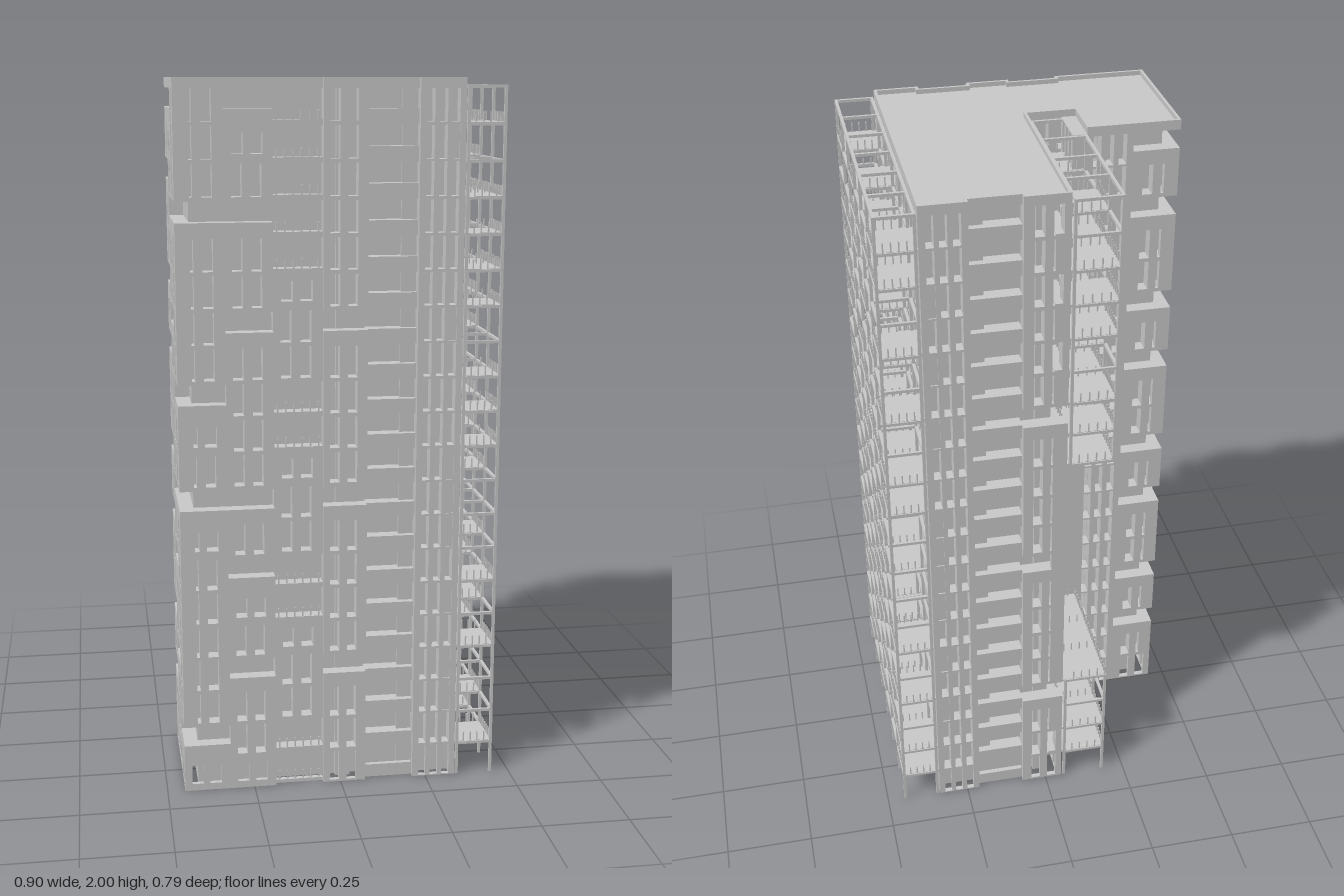
import * as THREE from 'three';
import { mergeGeometries } from 'three/addons/utils/BufferGeometryUtils.js';

const H = 0.099, FLOORS = 20; // storey height and count
const RECESS = 0.04;          // depth of windows behind the facade
const FRONT = 0.394, BACK = -0.397, WEST = -0.45, EAST = 0.338;

export function createModel() {
  const tower = new THREE.Group();
  tower.name = 'apartmentTower';
  const material = new THREE.MeshStandardMaterial({ color: 0xcccccc });
  const parts = {};

  function add(name, geometry) {
    (parts[name] ??= []).push(geometry.index ? geometry.toNonIndexed() : geometry);
  }
  function box(name, x0, x1, y0, y1, z0, z1) {
    const g = new THREE.BoxGeometry(Math.abs(x1 - x0), y1 - y0, Math.abs(z1 - z0));
    add(name, g.translate((x0 + x1) / 2, (y0 + y1) / 2, (z0 + z1) / 2));
  }

  // Bay edges along the front, and the wall plane of each bay
  const edges = [WEST, -0.187, -0.05, 0.073, 0.212, EAST];
  const frontPlanes = [FRONT, FRONT - 0.014, FRONT, FRONT - 0.017, FRONT];
  const backPlanes = { 2: BACK, 3: BACK + 0.016, 4: BACK };
  const NECK = 0.135; // end of the rear court

  // Floor plan as [x, -z], counter-clockwise
  function plan(east) {
    const [a, b, c, d, e] = edges, [, f1, , f3] = frontPlanes;
    return [
      [a, -FRONT], [b, -FRONT], [b, -f1], [c, -f1], [c, -FRONT], [d, -FRONT], [d, -f3],
      ...(east > e ? [[e, -f3], [e, -FRONT], [east, -FRONT], [east, -BACK], [e, -BACK], [e, -backPlanes[3]]]
        : [[east, -f3], [east, -backPlanes[3]]]),
      [d, -backPlanes[3]], [d, -BACK], [c, -BACK], [c, -NECK], [b, -NECK], [b, 0], [a, 0],
    ];
  }
  function inset(points, t) {
    const n = points.length;
    const normal = (a, b) => [-Math.sign(b[1] - a[1]), Math.sign(b[0] - a[0])];
    return points.map((p, i) => {
      const a = normal(points[(i + n - 1) % n], p), b = normal(p, points[(i + 1) % n]);
      return new THREE.Vector2(p[0] + t * (a[0] + b[0]), p[1] + t * (a[1] + b[1]));
    });
  }
  function prism(name, outer, y0, y1, hole) {
    const shape = new THREE.Shape(outer);
    if (hole) shape.holes.push(new THREE.Path(hole));
    const g = new THREE.ExtrudeGeometry(shape, { depth: y1 - y0, bevelEnabled: false });
    add(name, g.rotateX(-Math.PI / 2).translate(0, y0, 0));
  }

  const outline = plan(EAST);
  prism('core', inset(plan(0.21), RECESS), H, 1.975);
  prism('groundWalls', inset(outline, RECESS), 0, H, inset(outline, RECESS + 0.006));
  prism('roof', inset(outline, 0), 1.972, 1.987);
  prism('parapet', inset(outline, 0), 1.987, 2, inset(outline, 0.008));

  // A facade maps (along, height, depth inward) onto one wall plane
  function facade(axis, plane, sign) {
    return (name, u0, u1, y0, y1, d0, d1) => {
      const a = plane - sign * d0, b = plane - sign * d1;
      if (axis === 'z') box(name, u0, u1, y0, y1, a, b);
      else box(name, a, b, y0, y1, u0, u1);
    };
  }
  // W tall windows, S small windows, T three slots, L loggia with parapet, R loggia with railing
  const windows = {
    W: { sill: 0.06, head: 0.95, gaps: [[0.15, 0.37], [0.55, 0.77]] },
    S: { sill: 0.2, head: 0.76, gaps: [[0.16, 0.4], [0.55, 0.8]] },
    T: { sill: 0.03, head: 0.97, gaps: [[0.14, 0.31], [0.42, 0.59], [0.69, 0.86]] },
  };
  function cell(put, u0, u1, floor, type) {
    const w = u1 - u0, y = floor * H, depth = floor ? RECESS : 0.014;
    const panel = (name, a, b, low, high) => put(name, u0 + a * w, u0 + b * w, y + low * H, y + high * H, 0, depth);
    if (type === 'L') {
      panel('balconyParapets', 0, 1, 0, 0.38);
      panel('facade', 0, 1, 0.95, 1);
    } else if (type === 'R') {
      panel('facade', 0, 1, 0, 0.1);
      panel('facade', 0, 1, 0.95, 1);
      for (let i = 0; i < 6; i++) {
        const u = u0 + w * (i + 0.5) / 6;
        put('railings', u - 0.002, u + 0.002, y + 0.1 * H, y + 0.36 * H, 0.002, 0.006);
      }
    } else {
      const { sill, head, gaps } = windows[type];
      panel('facade', 0, 1, 0, sill);
      panel('facade', 0, 1, head, 1);
      let from = 0;
      for (const [a, b] of [...gaps, [1, 1]]) {
        panel('facade', from, a, sill, head);
        from = b;
      }
    }
  }

  // Front: one string per storey from the ground up, bays along +x (the wing has two)
  const front = ['SSRWLT', 'LWRWLT', 'WWWWLT', 'WLWLLT', 'WWSWLT', 'WSRWLT', 'WLRWLT', 'SWWWLT', 'LLWLLT', 'WWSWLT',
    'SWRWLT', 'LWRWLT', 'WWWWLT', 'WLWLLT', 'WWSWLT', 'WWRWLT', 'LLRWLT', 'WWRWLT', 'WSRWLT', 'WLRWLT'];
  const wingMid = -0.318;
  const wingFront = facade('z', FRONT, 1), wingSide = facade('x', WEST, -1), wingBack = facade('z', 0, -1);
  const neckSide = facade('x', edges[1], -1), neckBack = facade('z', NECK, -1);
  const courtWall = facade('x', edges[2], -1), courtBay = (NECK - BACK) / 4;
  const courtOpen = (f) => f >= 12 || (f >= 1 && f < 4);

  front.forEach((row, f) => {
    cell(wingFront, WEST, wingMid, f, row[0]);
    cell(wingFront, wingMid, edges[1], f, row[1]);
    for (let i = 1; i < 5; i++) {
      cell(facade('z', frontPlanes[i], 1), edges[i], edges[i + 1], f, row[i + 1]);
      if (i > 1) cell(facade('z', backPlanes[i], -1), edges[i], edges[i + 1], f, row[i + 1]);
    }
    // Wing: outer side and back
    cell(wingSide, 0.263, FRONT, f, row[0] === 'L' ? 'L' : 'T');
    cell(wingSide, 0.131, 0.263, f, row[1]);
    const rear = f % 5 === 2 || f % 5 === 4 ? 'L' : 'W';
    cell(wingSide, 0, 0.131, f, rear);
    cell(wingBack, WEST, wingMid, f, rear);
    cell(wingBack, wingMid, edges[1], f, 'T');
    cell(neckSide, 0, NECK, f, 'T');
    cell(neckBack, edges[1], edges[2], f, 'W');
    // Wall behind the rear frame
    for (let b = 0; b < 4; b++) {
      const z = BACK + b * courtBay;
      cell(courtWall, z, z + courtBay, f, courtOpen(f) && (f + b) % 2 ? 'R' : b === 3 ? 'L' : 'W');
    }
  });

  // Open steel frame of posts and beams between two x planes
  const T = 0.004;
  function frame(name, xa, xb, zLines, f0, f1) {
    const z0 = zLines[0], z1 = zLines[zLines.length - 1];
    for (const z of zLines) {
      for (const x of [xa, xb]) box(name, x - T, x + T, f0 * H, f1 * H, z - T, z + T);
      for (let f = Math.max(1, f0); f <= f1; f++) box(name, xa, xb, f * H - 2 * T, f * H, z - T, z + T);
    }
    for (let f = Math.max(1, f0); f <= f1; f++) {
      for (const x of [xa, xb]) box(name, x - T, x + T, f * H - 2 * T, f * H, z0, z1);
    }
  }
  // Balcony deck with pickets on the outer edge and both ends
  function balcony(xIn, xWall, xOut, z0, z1, f) {
    const y = f * H, p = 0.0018;
    box('balconyDecks', xIn, xOut, y - 0.006, y + 0.001, z0, z1);
    for (let i = 0; i <= 8; i++) {
      const z = z0 + (z1 - z0) * i / 8;
      box('railings', xOut - p, xOut + p, y, y + 0.028, z - p, z + p);
    }
    for (let i = 1; i < 5; i++) {
      const x = xWall + (xOut - xWall) * i / 5;
      for (const z of [z0, z1]) box('railings', x - p, x + p, y, y + 0.028, z - p, z + p);
    }
  }
  const lines = (start, end, count) => Array.from({ length: count }, (_, i) => start + (end - start) * i / (count - 1));

  // East side: frame, decks and loggias; digits list the bays with a balcony, counted from the front
  const eastLines = lines(BACK + T, FRONT - T, 7), frameIn = 0.345, frameOut = 0.446;
  frame('eastFrame', frameIn, frameOut, eastLines, 0, FLOORS);
  const decks = ['', '025', '145', '34', '025', '13', '0235', '13', '34', '134', '024', '025', '0345', '23', '025',
    '014', '035', '012', '2345', '025'];
  const eastWall = facade('x', EAST, 1);
  decks.forEach((bays, f) => {
    if (f > 0) box('loggiaFloors', 0.17, EAST - 0.004, f * H - 0.006, f * H, -0.35, 0.35);
    for (let b = 0; b < 6; b++) {
      const z0 = eastLines[5 - b], z1 = eastLines[6 - b];
      if (bays.includes(b)) balcony(0.23, frameIn, frameOut, z0, z1, f);
      else cell(eastWall, z0, z1, f, b % 2 ? 'W' : 'T');
    }
  });
  for (const z of eastLines.slice(1, -1)) box('loggiaPartitions', 0.17, 0.32, 0, 1.975, z - T, z + T);
  for (const z of [BACK + RECESS, FRONT - RECESS]) box('loggiaPartitions', 0.17, EAST - 0.005, 0, 1.975, z - T, z + T);

  // Rear court: the frame stands at the bottom and at the top, with a gap between
  const courtLines = lines(BACK + T, 0.122, 5), courtOut = -0.183, courtIn = -0.06;
  frame('courtFrameLower', courtOut, courtIn, courtLines, 0, 4);
  frame('courtFrameUpper', courtOut, courtIn, courtLines, 12, FLOORS);
  for (let f = 1; f < FLOORS; f++) {
    if (!courtOpen(f) && f !== 4) continue;
    for (let b = 0; b < 4; b++) {
      if (f !== 4 && f !== 12 && f % 2 && (b + (f >> 1)) % 2) continue;
      balcony(-0.02, courtIn, courtOut, courtLines[b], courtLines[b + 1], f);
    }
  }

  // Room walls of the open ground storey
  for (const x of [wingMid, edges[1]]) box('groundPartitions', x - T, x + T, 0, H, 0.18, 0.34);
  for (const x of [0.07, 0.17]) box('groundPartitions', x - T, x + T, 0, H, -0.34, 0.34);
  for (const z of [-0.26, -0.13, 0, 0.13, 0.26]) {
    box('groundPartitions', z > 0.2 ? -0.41 : -0.01, z === 0 ? 0.17 : 0.07, 0, H, z - T, z + T);
  }

  for (const [name, list] of Object.entries(parts)) {
    const mesh = new THREE.Mesh(mergeGeometries(list), material);
    mesh.name = name;
    tower.add(mesh);
  }
  return tower;
}
